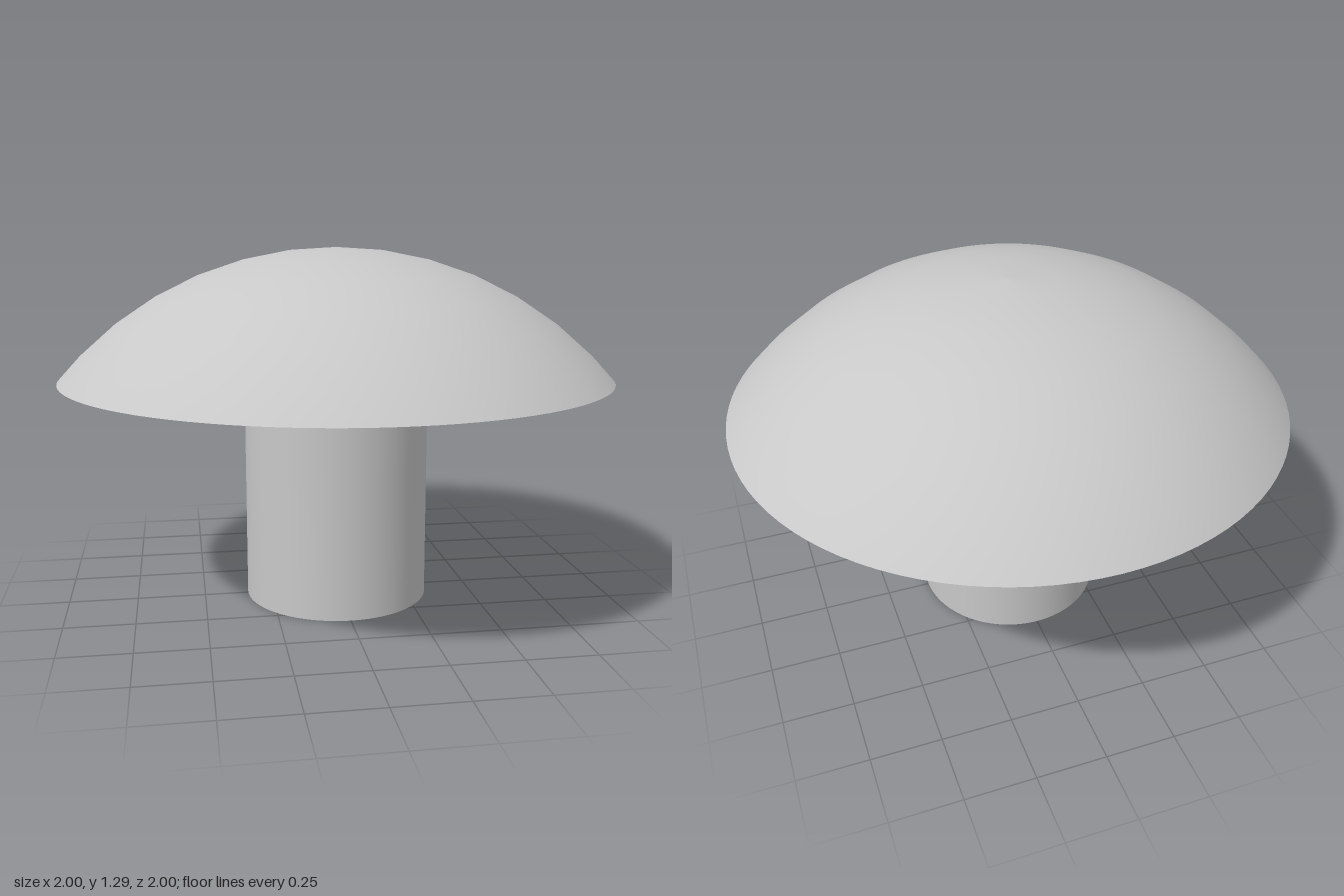
import * as THREE from 'three';
import { toCreasedNormals } from 'three/addons/utils/BufferGeometryUtils.js';

const RIM_Y = 0.83, TOP_Y = 1.295, STEM_R = 0.338;

export function createModel() {
  const group = new THREE.Group();
  const grey = new THREE.MeshStandardMaterial({ color: 0xc8c8c8 });
  grey.name = 'plain grey';
  const add = (name, geometry) => {
    const mesh = new THREE.Mesh(geometry, grey);
    mesh.name = name;
    group.add(mesh);
  };

  // Domed cap: a spherical segment in 7.5 degree rings, ending at the rim
  const h = TOP_Y - RIM_Y;
  const R = (1 + h * h) / (2 * h);
  const step = Math.PI / 24;
  const profile = [new THREE.Vector2(1, RIM_Y)];
  for (let i = Math.floor(Math.asin(1 / R) / step); i >= 0; i--) {
    profile.push(new THREE.Vector2(R * Math.sin(i * step), TOP_Y - R + R * Math.cos(i * step)));
  }
  add('capDome', new THREE.LatheGeometry(profile, 96));

  // Flat underside of the cap
  add('capUnderside', new THREE.CircleGeometry(1, 96).rotateX(Math.PI / 2).translate(0, RIM_Y, 0));

  // Round stem with a cross-shaped socket: wider, shorter arms along x
  const stem = new THREE.Shape().absarc(0, 0, STEM_R, 0, Math.PI * 2, false);
  const xl = 0.234, xw = 0.085, zl = 0.27, zw = 0.07;
  const cross = [
    [xl, -xw], [xl, xw], [zw, xw], [zw, zl], [-zw, zl], [-zw, xw],
    [-xl, xw], [-xl, -xw], [-zw, -xw], [-zw, -zl], [zw, -zl], [zw, -xw],
  ];
  stem.holes.push(new THREE.Path(cross.map(([x, z]) => new THREE.Vector2(x, z)).reverse()));
  const stemGeometry = new THREE.ExtrudeGeometry(stem, {
    depth: RIM_Y, bevelEnabled: false, curveSegments: 64,
  }).rotateX(-Math.PI / 2);
  add('stem', toCreasedNormals(stemGeometry, 0.5));

  return group;
}
